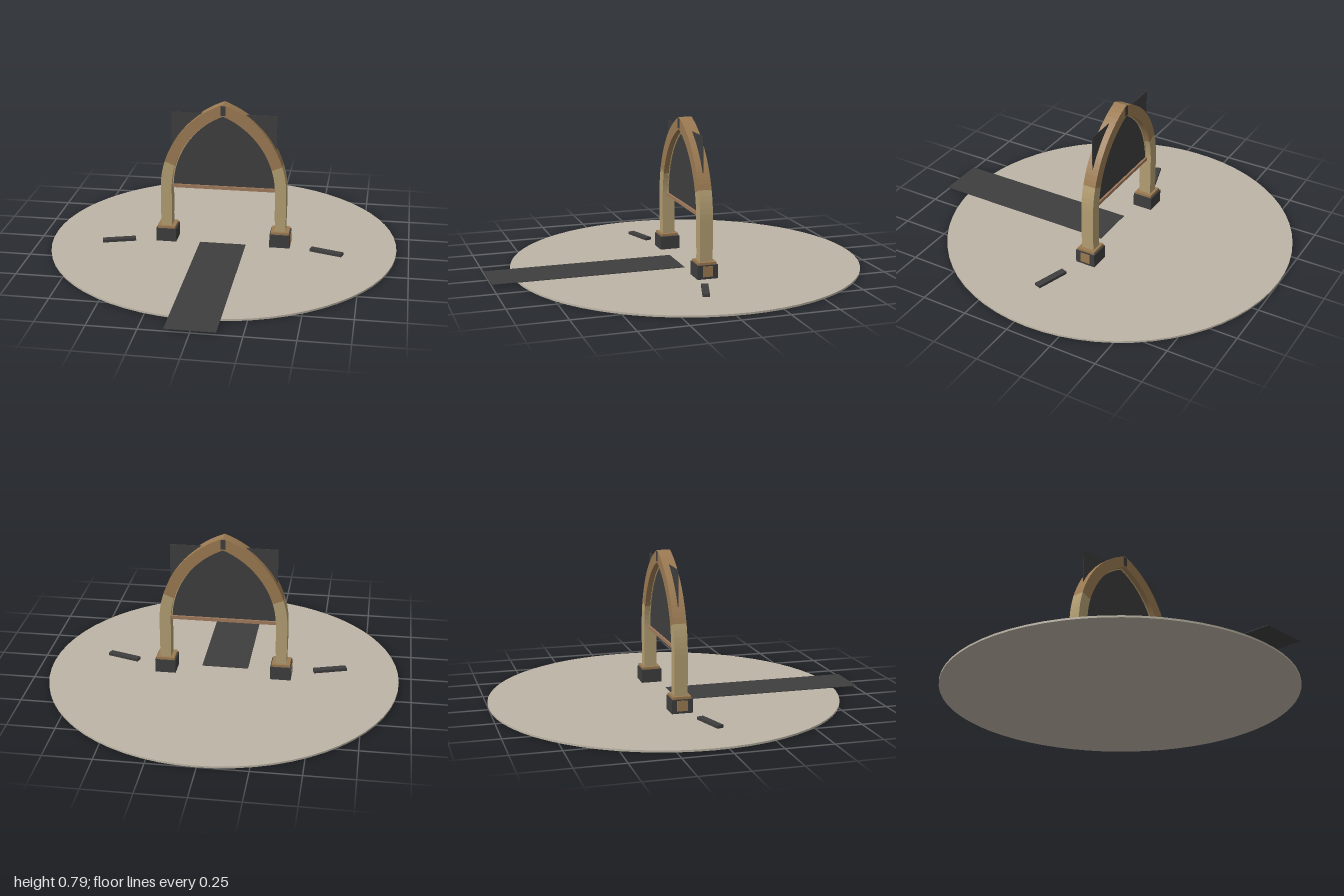
import * as THREE from 'three';

const material = (name, color) => {
  const m = new THREE.MeshStandardMaterial({ color });
  m.name = name;
  return m;
};

export function createModel() {
  const group = new THREE.Group();
  const sand = material('pale sand', 0xbdb5a6);
  const dark = material('dark slate', 0x3e3e3e);
  const tan = material('tan stone', 0xb39e72);
  const brown = material('brown stone', 0x9b7a52);
  const clay = material('clay trim', 0xa07a5c);

  const Z = -0.065;      // plane of the arch
  const SPRING = 0.31;   // height where the curve begins
  const OFFSET = 0.175;  // arc centres lie past the middle
  const INNER = 0.455, OUTER = 0.515, DEPTH = 0.07;

  const add = (name, geometry, mat, x = 0, y = 0, z = 0) => {
    const mesh = new THREE.Mesh(geometry, mat);
    mesh.name = name;
    mesh.position.set(x, y, z);
    group.add(mesh);
    return mesh;
  };
  const box = (name, mat, w, h, d, x, y, z) =>
    add(name, new THREE.BoxGeometry(w, h, d), mat, x, y, z);

  // Curved block between two radii; t runs from springing (0) to apex (1)
  const arcBlock = (name, mat, side, r0, r1, t0, t1, depth, steps) => {
    const edge = (r, t) => {
      const a = t * Math.acos(OFFSET / r);
      return new THREE.Vector2(side * (r * Math.cos(a) - OFFSET), SPRING + r * Math.sin(a));
    };
    const points = [];
    for (let i = 0; i <= steps; i++) points.push(edge(r1, t0 + (t1 - t0) * i / steps));
    for (let i = steps; i >= 0; i--) points.push(edge(r0, t0 + (t1 - t0) * i / steps));
    const geometry = new THREE.ExtrudeGeometry(new THREE.Shape(points), { depth, bevelEnabled: false });
    return add(name, geometry, mat, 0, 0, Z - depth / 2);
  };

  // Ground and path
  add('ground', new THREE.CylinderGeometry(0.935, 0.935, 0.01, 64), sand, 0, 0.005, Z);
  box('path', dark, 0.25, 0.003, 1.02, 0, 0.0118, 0.49);

  for (const side of [1, -1]) {
    // Plinth with cap and inset outer panel
    const x = side * 0.31;
    box('plinth', dark, 0.11, 0.073, 0.11, x, 0.0465, Z);
    box('plinthCap', brown, 0.098, 0.013, 0.098, x, 0.0895, Z);
    box('plinthPanel', brown, 0.004, 0.055, 0.055, side * 0.366, 0.05, Z);

    // Pillar stones
    box('pillarStone', tan, 0.057, 0.06, DEPTH - 0.002, x, 0.126, Z);
    box('pillarStone', tan, 0.06, 0.154, DEPTH, x, 0.233, Z);

    // Arch stones
    for (let i = 0; i < 4; i++) {
      arcBlock('archStone', i === 0 ? tan : brown, side, INNER, OUTER, i / 4, (i + 1) / 4, DEPTH, 5);
    }
    // Thin rim around the opening
    arcBlock('archRim', tan, side, INNER - 0.005, INNER, 0, 1, 0.012, 20);

    // Low slanted bar beside the arch
    const bar = box('groundBar', dark, 0.18, 0.015, 0.036, side * 0.565, 0.0175, 0.02);
    bar.rotation.y = -side * 0.3;
  }

  // Keystone, panel filling the arch, and its sill
  box('keystone', dark, 0.025, 0.052, DEPTH + 0.004, 0, 0.761, Z);
  box('archPanel', dark, 0.565, 0.41, 0.003, 0, 0.53, Z);
  box('panelSill', clay, 0.565, 0.018, 0.024, 0, 0.32, Z);

  return group;
}
